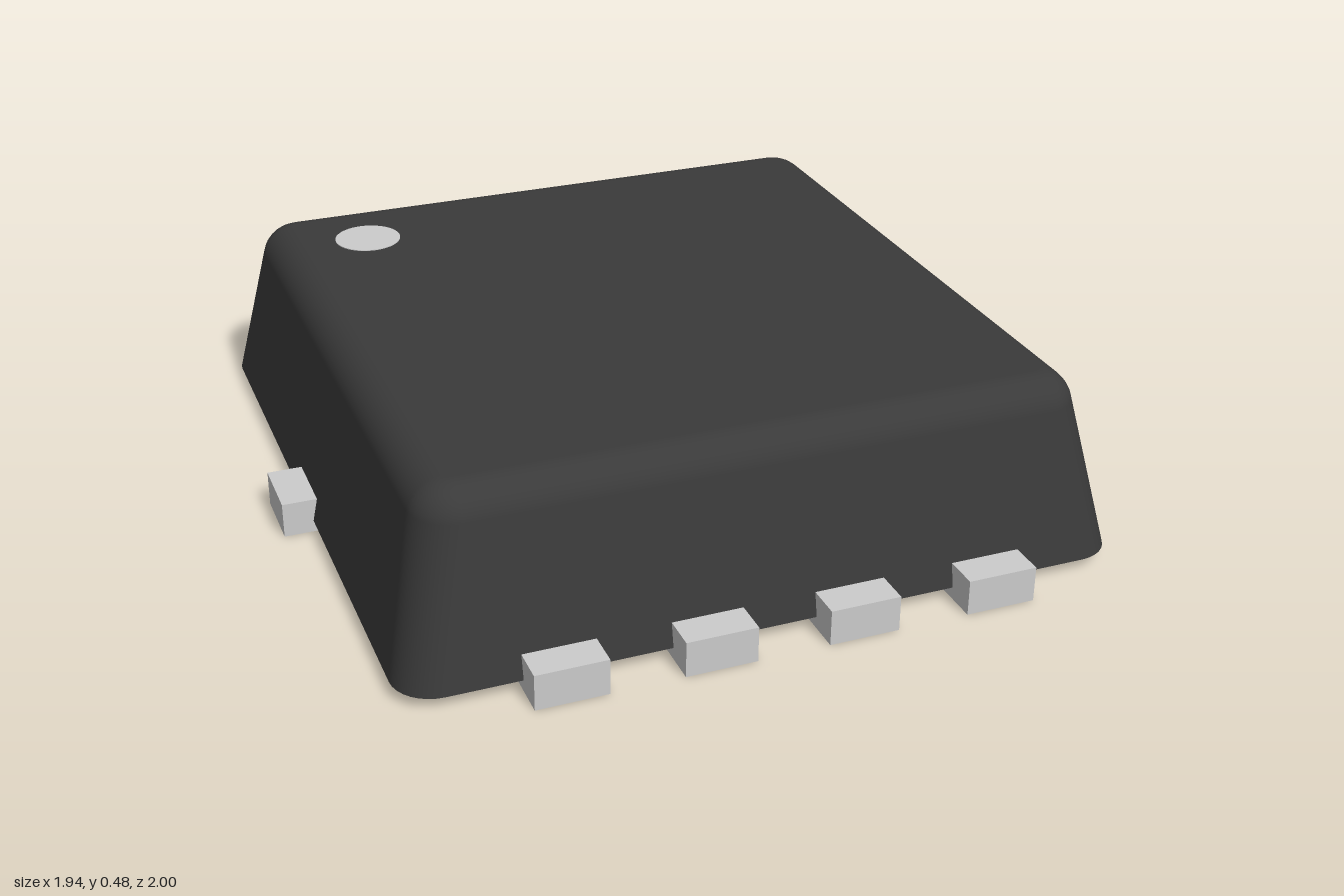
import * as THREE from 'three';

const HALF_X = 0.895, HALF_Z = 0.925;   // body footprint
const BASE = 0.03, TOP = 0.475;         // body bottom and top
const LEAD_H = 0.09, LEAD_W = 0.175;    // metal thickness and lead width
const FRONT_X = [0.53, 0.177, -0.177, -0.53];
const BACK_X = [0.573, 0.191, -0.191, -0.573];

// Tapered moulded body: stacked rounded rectangles with a rounded top edge
function bodyGeometry() {
  const taper = Math.atan(0.08 / 0.38), fillet = 0.09, corner = 0.1;
  const filletY = TOP - fillet;
  const startInset = (filletY + fillet * Math.sin(taper) - BASE) * Math.tan(taper);
  const rings = [
    { collapse: true, y: BASE, tilt: -Math.PI / 2 },
    { inset: 0, radius: corner, y: BASE, tilt: -Math.PI / 2 },
    { inset: 0, radius: corner, y: BASE, tilt: taper },
  ];
  const steps = 8;
  for (let k = 0; k <= steps; k++) {
    const tilt = taper + (Math.PI / 2 - taper) * k / steps;
    const shrink = fillet * (Math.cos(taper) - Math.cos(tilt));
    rings.push({
      inset: startInset + shrink, radius: corner - shrink,
      y: filletY + fillet * Math.sin(tilt), tilt,
    });
  }
  rings.push({ collapse: true, y: TOP, tilt: Math.PI / 2 });

  const arc = 8, count = 4 * (arc + 1);
  const positions = [], normals = [], index = [];
  for (const ring of rings) {
    for (let q = 0; q < 4; q++) {
      const sx = q === 0 || q === 3 ? 1 : -1, sz = q < 2 ? 1 : -1;
      for (let k = 0; k <= arc; k++) {
        const a = (q + k / arc) * Math.PI / 2, c = Math.cos(a), s = Math.sin(a);
        if (ring.collapse) positions.push(0, ring.y, 0);
        else positions.push(
          sx * (HALF_X - ring.inset - ring.radius) + ring.radius * c, ring.y,
          sz * (HALF_Z - ring.inset - ring.radius) + ring.radius * s);
        normals.push(Math.cos(ring.tilt) * c, Math.sin(ring.tilt), Math.cos(ring.tilt) * s);
      }
    }
  }
  for (let j = 0; j < rings.length - 1; j++) {
    for (let i = 0; i < count; i++) {
      const a = j * count + i, b = j * count + (i + 1) % count;
      index.push(a, a + count, b, b, a + count, b + count);
    }
  }
  const geometry = new THREE.BufferGeometry();
  geometry.setAttribute('position', new THREE.Float32BufferAttribute(positions, 3));
  geometry.setAttribute('normal', new THREE.Float32BufferAttribute(normals, 3));
  geometry.setIndex(index);
  return geometry;
}

// Thermal pad with side tabs and front leads, small chamfers at each root
function padGeometry() {
  const w = 0.66, back = -0.3, front = 0.745, h = LEAD_W / 2, c = 0.025;
  const points = [[-w, back], [w, back]];
  const tab = (s) => {
    const side = [[w, -h - c], [w + c, -h], [0.97, -h], [0.97, h], [w + c, h], [w, h + c]];
    for (const [x, z] of side) points.push([s * x, s * z]);
  };
  tab(1);
  points.push([w, front]);
  for (const x of FRONT_X) {
    points.push([x + h + c, front], [x + h, front + c], [x + h, 1],
      [x - h, 1], [x - h, front + c], [x - h - c, front]);
  }
  points.push([-w, front]);
  tab(-1);
  const shape = new THREE.Shape(points.map(([x, z]) => new THREE.Vector2(x, z)));
  return new THREE.ExtrudeGeometry(shape, { depth: LEAD_H, bevelEnabled: false })
    .rotateX(Math.PI / 2).translate(0, LEAD_H, 0);
}

export function createModel() {
  const model = new THREE.Group();
  model.name = 'chipPackage';
  const metal = new THREE.MeshStandardMaterial({ color: 0xcccccc });
  const plastic = new THREE.MeshStandardMaterial({ color: 0x3a3a3a });
  const add = (name, geometry, material) => {
    const mesh = new THREE.Mesh(geometry, material);
    mesh.name = name;
    model.add(mesh);
    return mesh;
  };

  add('body', bodyGeometry(), plastic);
  add('thermalPad', padGeometry(), metal);

  // Separate leads along the back
  const leadDepth = 0.235;
  const leadGeometry = new THREE.BoxGeometry(LEAD_W, LEAD_H, leadDepth);
  BACK_X.forEach((x, i) => {
    add(`backLead${i + 1}`, leadGeometry, metal).position.set(x, LEAD_H / 2, -1 + leadDepth / 2);
  });

  // Round orientation mark on the top
  add('orientationDot', new THREE.CylinderGeometry(0.0875, 0.0875, 0.01, 48), metal)
    .position.set(-0.56, TOP - 0.003, -0.59);

  return model;
}
